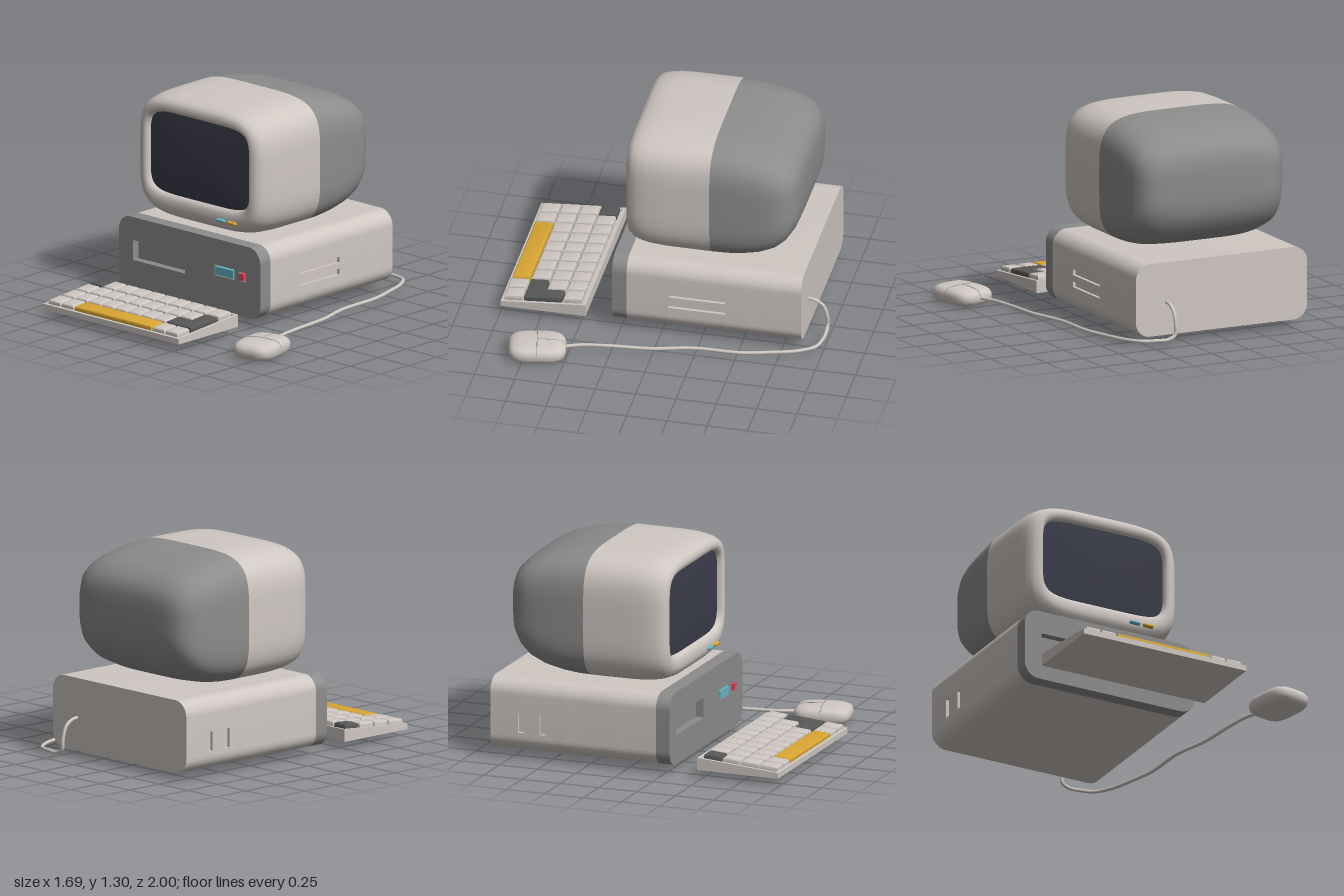
import * as THREE from 'three';
import { toCreasedNormals } from 'three/addons/utils/BufferGeometryUtils.js';

const mat = (color) => new THREE.MeshStandardMaterial({ color });
const M = {
  shell: mat(0xcfc7c2), grey: mat(0x8c8c8c), dark: mat(0x585858), screen: mat(0x3a3c4a),
  yellow: mat(0xd9a632), cyan: mat(0x63b5c4), red: mat(0xe0455a),
};

function add(parent, name, geometry, material) {
  const mesh = new THREE.Mesh(geometry, material);
  mesh.name = name;
  parent.add(mesh);
  return mesh;
}

// Box given by its limits
function box(parent, name, x0, x1, y0, y1, z0, z1, material) {
  const m = add(parent, name, new THREE.BoxGeometry(x1 - x0, y1 - y0, z1 - z0), material);
  m.position.set((x0 + x1) / 2, (y0 + y1) / 2, (z0 + z1) / 2);
  return m;
}

// Skin over superellipse sections [z, halfWidth, yBottom, yTop, exponent], back to front
function loft(sections, seg = 96) {
  const pos = [], idx = [];
  sections.forEach(([z, hw, y0, y1, n], i) => {
    for (let j = 0; j < seg; j++) {
      const a = (j / seg) * Math.PI * 2, c = Math.cos(a), s = Math.sin(a);
      const r = (Math.abs(c) ** n + Math.abs(s) ** n) ** (-1 / n);
      pos.push(c * r * hw, (y0 + y1) / 2 + (s * r * (y1 - y0)) / 2, z);
      if (i === sections.length - 1) continue;
      const p = i * seg + j, q = i * seg + ((j + 1) % seg);
      idx.push(p, q, p + seg, q, q + seg, p + seg);
    }
  });
  const g = new THREE.BufferGeometry();
  g.setAttribute('position', new THREE.Float32BufferAttribute(pos, 3));
  g.setIndex(idx);
  g.computeVertexNormals();
  return g;
}

// Rounded case outline; notches are [y0, y1] cuts in the right (+x) or left side
function caseOutline(right = [], left = []) {
  const x0 = -0.85, x1 = 0.32, y0 = 0.05, y1 = 0.5, r = 0.095, d = 0.02;
  const s = new THREE.Shape();
  s.moveTo(x0 + r, y0);
  s.absarc(x1 - r, y0 + r, r, -Math.PI / 2, 0);
  for (const [a, b] of right) {
    s.lineTo(x1, a); s.lineTo(x1 - d, a); s.lineTo(x1 - d, b); s.lineTo(x1, b);
  }
  s.absarc(x1 - r, y1 - r, r, 0, Math.PI / 2);
  s.absarc(x0 + r, y1 - r, r, Math.PI / 2, Math.PI);
  for (const [a, b] of left) {
    s.lineTo(x0, b); s.lineTo(x0 + d, b); s.lineTo(x0 + d, a); s.lineTo(x0, a);
  }
  s.absarc(x0 + r, y0 + r, r, Math.PI, Math.PI * 1.5);
  return s;
}

function extrudeZ(shape, z0, z1) {
  const g = new THREE.ExtrudeGeometry(shape, { depth: z1 - z0, bevelEnabled: false, curveSegments: 10 });
  return toCreasedNormals(g.translate(0, 0, z0), 0.6);
}

function rectPath(x0, x1, y0, y1) {
  return new THREE.Path([[x0, y0], [x0, y1], [x1, y1], [x1, y0]].map((p) => new THREE.Vector2(...p)));
}

function buildCase() {
  const g = new THREE.Group();
  g.name = 'computerCase';
  // Body slices, with vents cut into the sides
  const R = [[0.2, 0.235], [0.275, 0.31]], L = [[0.17, 0.29]];
  const slices = [
    [-0.87, -0.69], [-0.69, -0.65, [], L], [-0.65, -0.55], [-0.55, -0.51, [], L],
    [-0.51, -0.4], [-0.4, -0.05, R], [-0.05, 0.21],
  ];
  for (const [z0, z1, r, l] of slices) add(g, 'caseBody', extrudeZ(caseOutline(r, l), z0, z1), M.shell);
  // Front panel with drive slot and button openings
  const front = caseOutline();
  front.holes.push(
    rectPath(-0.735, -0.305, 0.23, 0.355),
    rectPath(-0.058, 0.106, 0.27, 0.336),
    rectPath(0.144, 0.201, 0.274, 0.331),
  );
  add(g, 'frontPanel', extrudeZ(front, 0.21, 0.3), M.grey);
  box(g, 'driveSlotBack', -0.74, -0.3, 0.225, 0.36, 0.212, 0.25, M.grey);
  box(g, 'buttonRecess', -0.06, 0.205, 0.265, 0.34, 0.212, 0.28, M.dark);
  box(g, 'statusButton', -0.048, 0.098, 0.278, 0.328, 0.27, 0.306, M.cyan);
  box(g, 'powerButton', 0.153, 0.192, 0.282, 0.323, 0.27, 0.312, M.red);
  return g;
}

function buildMonitor() {
  const g = new THREE.Group();
  g.name = 'monitor';
  g.position.x = -0.262;
  add(g, 'monitorFront', loft([
    [-0.289, 0.527, 0.5, 1.3, 4.4], [-0.15, 0.527, 0.5, 1.3, 4.4], [0, 0.527, 0.501, 1.299, 4.4],
    [0.1, 0.523, 0.508, 1.295, 4.4], [0.16, 0.514, 0.52, 1.286, 4.4], [0.2, 0.5, 0.536, 1.274, 4.5],
    [0.227, 0.48, 0.56, 1.258, 4.7], [0.24, 0.45, 0.595, 1.232, 5.2], [0.236, 0.43, 0.64, 1.205, 5.8],
    [0.222, 0.42, 0.663, 1.19, 6], [0.2, 0.415, 0.67, 1.185, 6],
  ]), M.shell);
  add(g, 'monitorRear', loft([
    [-0.81, 0.001, 0.95, 0.951, 4], [-0.81, 0.2, 0.89, 1.0, 4], [-0.808, 0.33, 0.82, 1.06, 4],
    [-0.798, 0.4, 0.755, 1.11, 4], [-0.775, 0.45, 0.695, 1.155, 4], [-0.73, 0.489, 0.63, 1.198, 4.2],
    [-0.67, 0.511, 0.58, 1.229, 4.3], [-0.58, 0.522, 0.54, 1.258, 4.4], [-0.47, 0.526, 0.514, 1.28, 4.4],
    [-0.38, 0.527, 0.503, 1.293, 4.4], [-0.289, 0.527, 0.5, 1.3, 4.4],
  ]), M.grey);
  add(g, 'screen', loft([
    [0.202, 0.416, 0.669, 1.186, 6], [0.209, 0.3, 0.74, 1.115, 5],
    [0.213, 0.15, 0.83, 1.02, 4], [0.214, 0.001, 0.927, 0.928, 2],
  ]), M.screen);
  // Two capsule-shaped front lights
  [[0.203, 'leftLight', M.cyan], [0.294, 'rightLight', M.yellow]].forEach(([x, name, m]) => {
    const light = add(g, name, new THREE.CapsuleGeometry(0.012, 0.05, 6, 12), m);
    light.rotation.z = Math.PI / 2;
    light.scale.z = 1.8;
    light.position.set(x, 0.6, 0.236);
  });
  return g;
}

function buildKeyboard() {
  const g = new THREE.Group();
  g.name = 'keyboard';
  const x0 = -0.825, x1 = 0.295, zb = 0.47, zf = 0.997, slope = 0.08;
  // Sloped tray and its raised rim
  const wedge = (name, a, b, za, zc, drop) => {
    const top = (z) => 0.085 - drop + (zf - z) * slope;
    const s = new THREE.Shape([[-zc, 0.05], [-za, 0.05], [-za, top(za)], [-zc, top(zc)]].map((p) => new THREE.Vector2(...p)));
    const geo = new THREE.ExtrudeGeometry(s, { depth: b - a, bevelEnabled: false });
    add(g, name, geo.rotateY(Math.PI / 2).translate(a, 0, 0), M.shell);
  };
  const t = 0.018;
  wedge('keyboardTray', x0 + t, x1 - t, zb + t, zf - t, 0.02);
  wedge('rightRim', x0, x0 + t, zb, zf, 0);
  wedge('leftRim', x1 - t, x1, zb, zf, 0);
  wedge('backRim', x0 + t, x1 - t, zb, zb + t, 0);
  wedge('frontRim', x0 + t, x1 - t, zf - t, zf, 0);

  // Keys lie in a tilted plane; outlines are in column and row units
  const keys = new THREE.Group();
  keys.name = 'keys';
  keys.position.set(-0.803, 0.065 + (zf - 0.495) * slope, 0.495);
  keys.rotation.x = Math.atan(slope);
  g.add(keys);
  const px = 0.1076, pz = 0.1225, gap = 0.006;
  const key = (name, pts, m) => {
    const s = new THREE.Shape(pts.map(([c, r, sx, sy]) => new THREE.Vector2(c * px + sx * gap, -r * pz - sy * gap)));
    const geo = new THREE.ExtrudeGeometry(s, {
      depth: 0.02, bevelThickness: 0.015, bevelSize: 0.014, bevelOffset: -0.014, bevelSegments: 3,
    });
    add(keys, name, toCreasedNormals(geo.rotateX(-Math.PI / 2).translate(0, 0.012, 0), 0.5), m);
  };
  const span = (c, r, w = 1) => [[c, r + 1, 1, -1], [c + w, r + 1, -1, -1], [c + w, r, -1, 1], [c, r, 1, 1]];
  const rows = [[1, 2, 3, 4, 5, 6, 7, 8, 9], [0, 1, 2, 3, 4, 5, 6, 7, 8], [0, 1, 2, 3, 4, 5, 6, 7], [0, 1, 8, 9]];
  rows.forEach((cols, r) => cols.forEach((c) => key('key', span(c, r), M.shell)));
  key('cornerKey', span(0, 0), M.dark);
  key('spaceBar', span(2, 3, 6), M.yellow);
  key('enterKey', [[8, 3, 1, -1], [10, 3, -1, -1], [10, 1, -1, 1], [9, 1, 1, 1], [9, 2, 1, 1], [8, 2, 1, 1]], M.dark);
  return g;
}

function tube(parent, name, pts, radius, segments, material) {
  const curve = new THREE.CatmullRomCurve3(pts.map((p) => new THREE.Vector3(...p)));
  return add(parent, name, new THREE.TubeGeometry(curve, segments, radius, 10), material);
}

function buildMouse() {
  const g = new THREE.Group();
  g.name = 'mouse';
  g.position.set(0.69, 0, 0.68);
  g.rotation.y = 0.2;
  const levels = [
    [0, 0.001], [0, 0.75], [0.006, 0.87], [0.018, 0.95], [0.035, 0.99], [0.055, 1], [0.072, 0.975],
    [0.086, 0.91], [0.096, 0.8], [0.102, 0.6], [0.105, 0.3], [0.106, 0.001],
  ];
  const body = loft(levels.map(([y, k]) => [y, 0.136 * k, -0.176 * k, 0.176 * k, 3.6]), 64);
  add(g, 'mouseBody', body.rotateX(-Math.PI / 2), M.shell);
  // Seams around the two buttons
  const e = 0.002;
  tube(g, 'buttonSeam', [[-0.135, 0.06, 0], [-0.124, 0.086, 0], [-0.082, 0.102, 0], [0, 0.106, 0],
    [0.082, 0.102, 0], [0.124, 0.086, 0], [0.135, 0.06, 0]], e, 24, M.grey);
  tube(g, 'buttonSplit', [[0, 0.106, 0], [0, 0.102, -0.106], [0, 0.086, -0.16], [0, 0.06, -0.176]], e, 16, M.grey);
  return g;
}

export function createModel() {
  const model = new THREE.Group();
  model.name = 'desktopComputer';
  model.add(buildCase(), buildMonitor(), buildKeyboard(), buildMouse());
  // Cable from the back of the case round to the mouse
  tube(model, 'mouseCable', [
    [0.11, 0.255, -0.86], [0.11, 0.248, -0.91], [0.11, 0.215, -0.96], [0.11, 0.14, -0.987], [0.115, 0.075, -0.989],
    [0.16, 0.05, -0.988], [0.23, 0.05, -0.985], [0.32, 0.05, -0.96], [0.39, 0.05, -0.865], [0.445, 0.05, -0.7],
    [0.485, 0.05, -0.54], [0.5, 0.05, -0.24], [0.56, 0.05, 0], [0.585, 0.05, 0.25], [0.612, 0.05, 0.42], [0.655, 0.05, 0.53],
  ], 0.011, 140, M.shell);
  return model;
}
